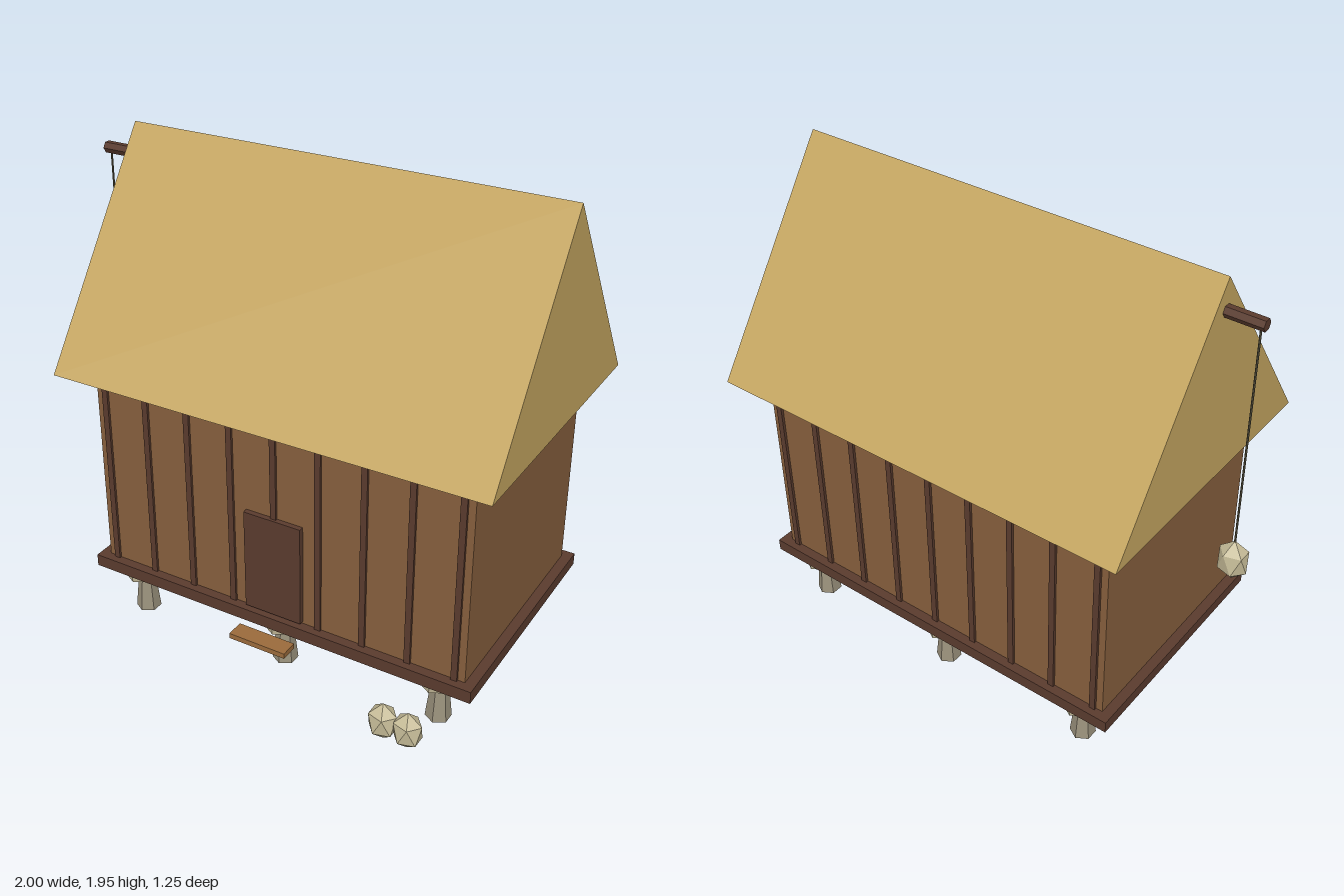
import * as THREE from 'three';

const material = (name, color) => {
  const m = new THREE.MeshStandardMaterial({ color, flatShading: true });
  m.name = name;
  return m;
};

export function createModel() {
  const thatch = material('thatch', 0xc4a560);
  const plank = material('plank wood', 0x865f3d);
  const darkWood = material('dark wood', 0x5a3b2e);
  const stepWood = material('step wood', 0x9a6b3c);
  const stone = material('post stone', 0x9a917c);
  const capStone = material('cap stone', 0xb8ae8e);
  const bundleCloth = material('bundle', 0xc6bc98);
  const ropeFibre = material('rope', 0x5c5642);

  const model = new THREE.Group();
  model.name = 'raisedStorehouse';
  const CX = 0.091, CZ = -0.034; // centre of the building

  const add = (name, geometry, mat, x, y, z) => {
    const mesh = new THREE.Mesh(geometry, mat);
    mesh.name = name;
    mesh.position.set(x, y, z);
    model.add(mesh);
    return mesh;
  };
  // box given by its limits on each axis
  const box = (name, mat, [x0, x1], [y0, y1], [z0, z1]) =>
    add(name, new THREE.BoxGeometry(x1 - x0, y1 - y0, z1 - z0), mat,
      (x0 + x1) / 2, (y0 + y1) / 2, (z0 + z1) / 2);

  // floor and walls
  box('floor', darkWood, [-0.751, 0.933], [0.209, 0.26], [-0.539, 0.472]);
  box('walls', plank, [-0.71, 0.892], [0.26, 1.11], [-0.5, 0.433]);

  // wall battens, front and back
  for (let i = 0; i < 9; i++) {
    const x = CX + (i - 4) * 0.19;
    for (const side of [1, -1]) {
      const z = CZ + side * 0.467;
      box('batten', darkWood, [x - 0.0125, x + 0.0125], [0.26, 1.11], [z - 0.01, z + 0.01]);
    }
  }

  // door and step
  box('door', darkWood, [-0.032, 0.214], [0.27, 0.695], [0.43, 0.455]);
  box('step', stepWood, [-0.032, 0.214], [0.186, 0.208], [0.5, 0.573]);

  // closed gable roof
  const gable = new THREE.Shape();
  gable.moveTo(-0.59, 0).lineTo(0.59, 0).lineTo(0, 0.837).closePath();
  const roofGeometry = new THREE.ExtrudeGeometry(gable, { depth: 1.811, bevelEnabled: false });
  roofGeometry.rotateY(Math.PI / 2);
  add('roof', roofGeometry, thatch, -0.814, 1.108, CZ);

  // nine tapered posts with flat caps
  for (const px of [-0.674, 0, 0.674]) {
    for (const pz of [-0.4, 0, 0.4]) {
      add('post', new THREE.CylinderGeometry(0.032, 0.051, 0.172, 6), stone, CX + px, 0.093, CZ + pz);
      add('postCap', new THREE.CylinderGeometry(0.096, 0.096, 0.031, 6), capStone, CX + px, 0.194, CZ + pz);
    }
  }

  // ridge beam with a hanging bundle
  const beam = new THREE.CylinderGeometry(0.024, 0.024, 0.4, 6);
  beam.rotateZ(Math.PI / 2);
  add('hoistBeam', beam, darkWood, -0.762, 1.82, -0.036);
  add('rope', new THREE.CylinderGeometry(0.004, 0.004, 0.93, 6), ropeFibre, -0.942, 1.345, -0.036);

  // faceted bundles, standing on a point
  const bundleGeometry = new THREE.IcosahedronGeometry(1, 0);
  bundleGeometry.rotateZ(-Math.atan(2 / (1 + Math.sqrt(5))));
  const bundle = (name, x, y, z, height) =>
    add(name, bundleGeometry, bundleCloth, x, y, z).scale.set(0.064, height, 0.055);
  bundle('hangingBundle', -0.942, 0.81, -0.036, 0.09);
  bundle('groundBundle', 0.64, 0.08, 0.577, 0.08);
  bundle('groundBundle', 0.742, 0.08, 0.577, 0.08);

  return model;
}
